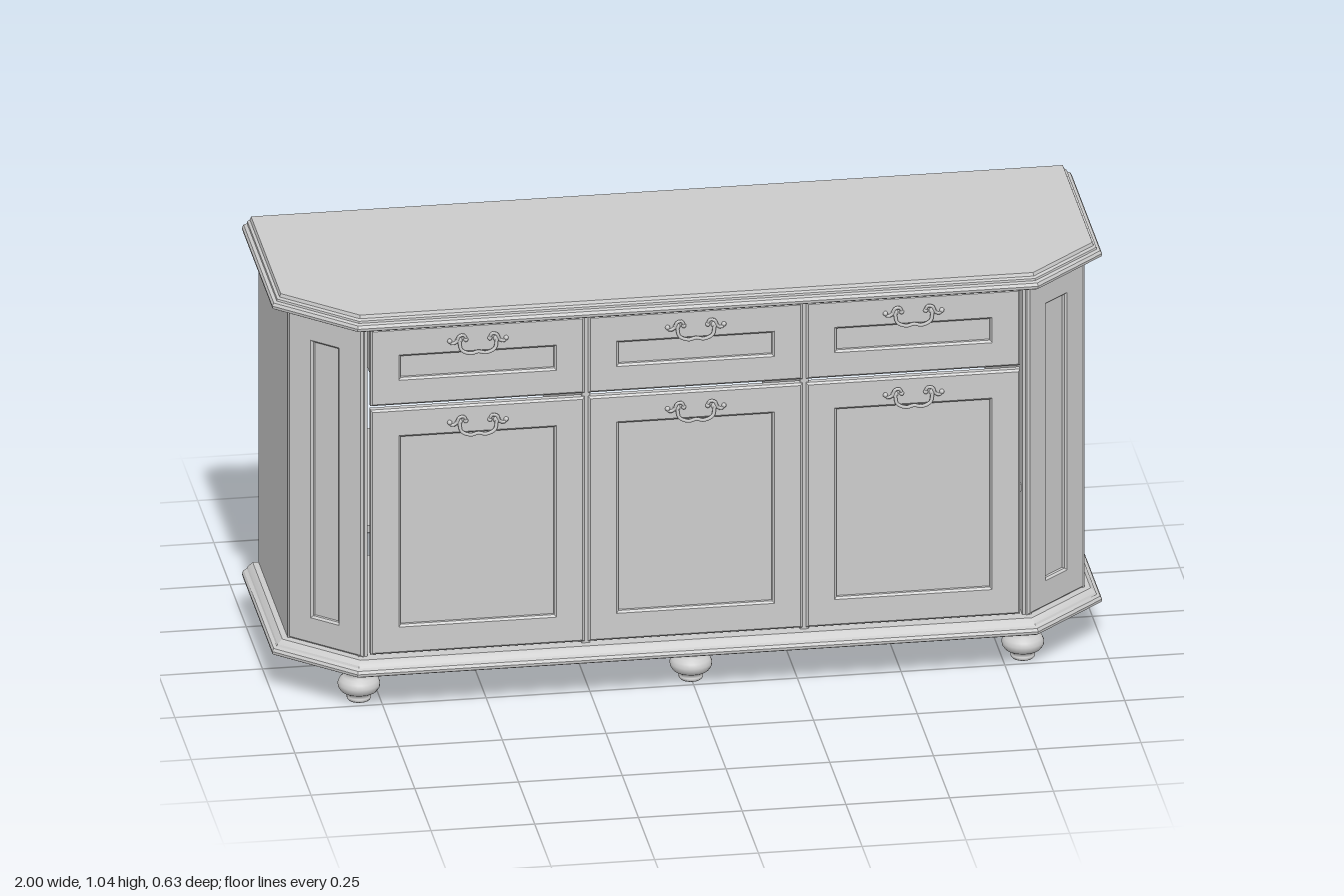
import * as THREE from 'three';
import { toCreasedNormals } from 'three/addons/utils/BufferGeometryUtils.js';

const material = new THREE.MeshStandardMaterial({ color: 0xcccccc });
const BACK = -0.317, FLOOR = 0.137, CEIL = 1.0;

function add(parent, name, geometry, x = 0, y = 0, z = 0) {
  const mesh = new THREE.Mesh(geometry, material);
  mesh.name = name;
  mesh.position.set(x, y, z);
  parent.add(mesh);
  return mesh;
}

// Box given by its limits on each axis
function slab(parent, name, x0, x1, y0, y1, z0, z1) {
  return add(parent, name, new THREE.BoxGeometry(x1 - x0, y1 - y0, z1 - z0),
    (x0 + x1) / 2, (y0 + y1) / 2, (z0 + z1) / 2);
}

// Board with clipped front corners; profile is a list of [inset, y], bottom to top
function mouldedBoard(profile) {
  const rings = profile.map(([d, y]) => {
    const k = 0.414 * d;
    const half = [[1 - d, BACK], [1 - d, 0.15 - k], [0.82 - k, 0.317 - d]];
    return [...half.map(([x, z]) => [-x, y, z]), ...half.reverse().map(([x, z]) => [x, y, z])];
  });
  const pos = [];
  const tri = (a, b, c) => pos.push(...a, ...b, ...c);
  for (let r = 0; r < rings.length - 1; r++) {
    const lo = rings[r], hi = rings[r + 1];
    for (let i = 0; i < 6; i++) {
      const j = (i + 1) % 6;
      tri(lo[i], lo[j], hi[j]);
      tri(lo[i], hi[j], hi[i]);
    }
  }
  const bottom = rings[0], top = rings[rings.length - 1];
  for (let i = 1; i < 5; i++) {
    tri(top[0], top[i], top[i + 1]);
    tri(bottom[0], bottom[i + 1], bottom[i]);
  }
  const geo = new THREE.BufferGeometry();
  geo.setAttribute('position', new THREE.Float32BufferAttribute(pos, 3));
  geo.computeVertexNormals();
  return toCreasedNormals(geo, 0.5);
}

function rect(path, x0, x1, y0, y1) {
  path.moveTo(x0, y0);
  path.lineTo(x1, y0);
  path.lineTo(x1, y1);
  path.lineTo(x0, y1);
  path.closePath();
  return path;
}

// Bevelled frame around a sunken panel, front face at z = 0
function framedPanel(name, w, y0, y1, hw, hy0, hy1, bevel) {
  const group = new THREE.Group();
  group.name = name;
  const shape = rect(new THREE.Shape(), -w / 2, w / 2, y0, y1);
  shape.holes.push(rect(new THREE.Path(), -hw / 2, hw / 2, hy0, hy1));
  const frame = new THREE.ExtrudeGeometry(shape, {
    depth: 0.024 - 2 * bevel, bevelThickness: bevel, bevelSize: bevel, bevelOffset: -bevel, bevelSegments: 1,
  });
  add(group, 'frame', frame, 0, 0, -0.024 + bevel);
  slab(group, 'sunkenPanel', -hw / 2 - 0.004, hw / 2 + 0.004, hy0 - 0.004, hy1 + 0.004, -0.022, -0.012);
  return group;
}

function tube(points, radius, segments = 14) {
  const curve = new THREE.CatmullRomCurve3(points.map(p => new THREE.Vector3(...p)));
  return new THREE.TubeGeometry(curve, segments, radius, 6);
}

// Drop pull with scrolled ends
function makeHandle() {
  const handle = new THREE.Group();
  handle.name = 'handle';
  add(handle, 'bail', tube([[-0.045, 0.008, 0.005], [-0.04, -0.013, 0.008], [-0.018, -0.022, 0.01],
    [0, -0.018, 0.01], [0.018, -0.022, 0.01], [0.04, -0.013, 0.008], [0.045, 0.008, 0.005]], 0.0045, 24));
  for (const s of [-1, 1]) {
    add(handle, 'scroll', tube([[0.028 * s, 0.013, 0.003], [0.034 * s, 0.024, 0.005], [0.046 * s, 0.022, 0.006],
      [0.052 * s, 0.008, 0.005], [0.062 * s, 0.003, 0.004], [0.069 * s, 0.01, 0.003]], 0.004));
    const boss = add(handle, 'boss', new THREE.SphereGeometry(0.009, 10, 8), 0.046 * s, 0.01, 0.002);
    boss.scale.z = 0.7;
    add(handle, 'scrollTip', new THREE.SphereGeometry(0.006, 8, 6), 0.029 * s, 0.012, 0.003);
    add(handle, 'leafTip', new THREE.SphereGeometry(0.006, 8, 6), 0.068 * s, 0.01, 0.003);
  }
  return handle;
}

export function createModel() {
  const model = new THREE.Group();
  model.name = 'sideboard';

  // Moulded top and base
  add(model, 'top', mouldedBoard([[0.008, 1.0], [0.001, 1.004], [0, 1.011], [0.004, 1.018],
    [0.012, 1.021], [0.013, 1.026], [0.019, 1.03], [0.022, 1.038]]));
  add(model, 'base', mouldedBoard([[0.008, 0.1], [0.001, 0.104], [0, 0.111], [0.004, 0.118],
    [0.012, 0.122], [0.014, 0.127], [0.026, 0.137]]));

  // Turned feet
  const profile = [[0, 0], [0.026, 0], [0.029, 0.004], [0.029, 0.009], [0.025, 0.013], [0.033, 0.019], [0.044, 0.025],
    [0.05, 0.034], [0.051, 0.043], [0.047, 0.053], [0.038, 0.06], [0.032, 0.064], [0.032, 0.072], [0.037, 0.08],
    [0.052, 0.085], [0.058, 0.09], [0.058, 0.101]].map(p => new THREE.Vector2(...p));
  const foot = new THREE.LatheGeometry(profile, 28);
  for (const [x, z] of [[-0.8, 0.207], [0, 0.207], [0.8, 0.207], [-0.88, -0.225], [0.88, -0.225]]) {
    add(model, 'foot', foot, x, 0, z);
  }

  // Sides, clipped corner panels and upright dividers
  for (const s of [-1, 1]) {
    slab(model, 'sidePanel', 0.95 * s - 0.01, 0.95 * s + 0.01, FLOOR, CEIL, BACK, 0.133);
    const corner = framedPanel('cornerPanel', 0.213, FLOOR, CEIL, 0.072, 0.21, 0.923, 0.005);
    corner.position.set(0.8815 * s, 0, 0.205);
    corner.rotation.y = s * Math.atan2(0.144, 0.157);
    model.add(corner);
    slab(model, 'outerDivider', 0.8 * s - 0.011, 0.8 * s + 0.011, FLOOR, CEIL, BACK, 0.27);
    slab(model, 'innerDivider', 0.263 * s - 0.01, 0.263 * s + 0.01, FLOOR, CEIL, BACK, 0.272);
  }

  // Three bays, each with a shelf, drawer and door
  for (const x of [-0.525, 0, 0.525]) {
    const bay = new THREE.Group();
    bay.name = 'bay';
    bay.position.x = x;
    model.add(bay);
    slab(bay, 'shelf', -0.268, 0.268, 0.45, 0.468, BACK, 0.25);

    const drawer = framedPanel('drawerFront', 0.516, 0.79, 0.99, 0.37, 0.86, 0.916, 0.005);
    const door = framedPanel('door', 0.516, 0.143, 0.78, 0.37, 0.217, 0.706, 0.005);
    for (const [front, y] of [[drawer, 0.94], [door, 0.728]]) {
      front.position.z = 0.28;
      const handle = makeHandle();
      handle.position.y = y;
      front.add(handle);
      bay.add(front);
    }

    // Open-topped drawer box
    slab(bay, 'drawerBottom', -0.24, 0.24, 0.82, 0.83, -0.26, 0.258);
    slab(bay, 'drawerBack', -0.24, 0.24, 0.82, 0.96, -0.27, -0.255);
    for (const s of [-1, 1]) {
      slab(bay, 'drawerSide', 0.234 * s - 0.006, 0.234 * s + 0.006, 0.82, 0.96, -0.26, 0.258);
    }
  }
  return model;
}
